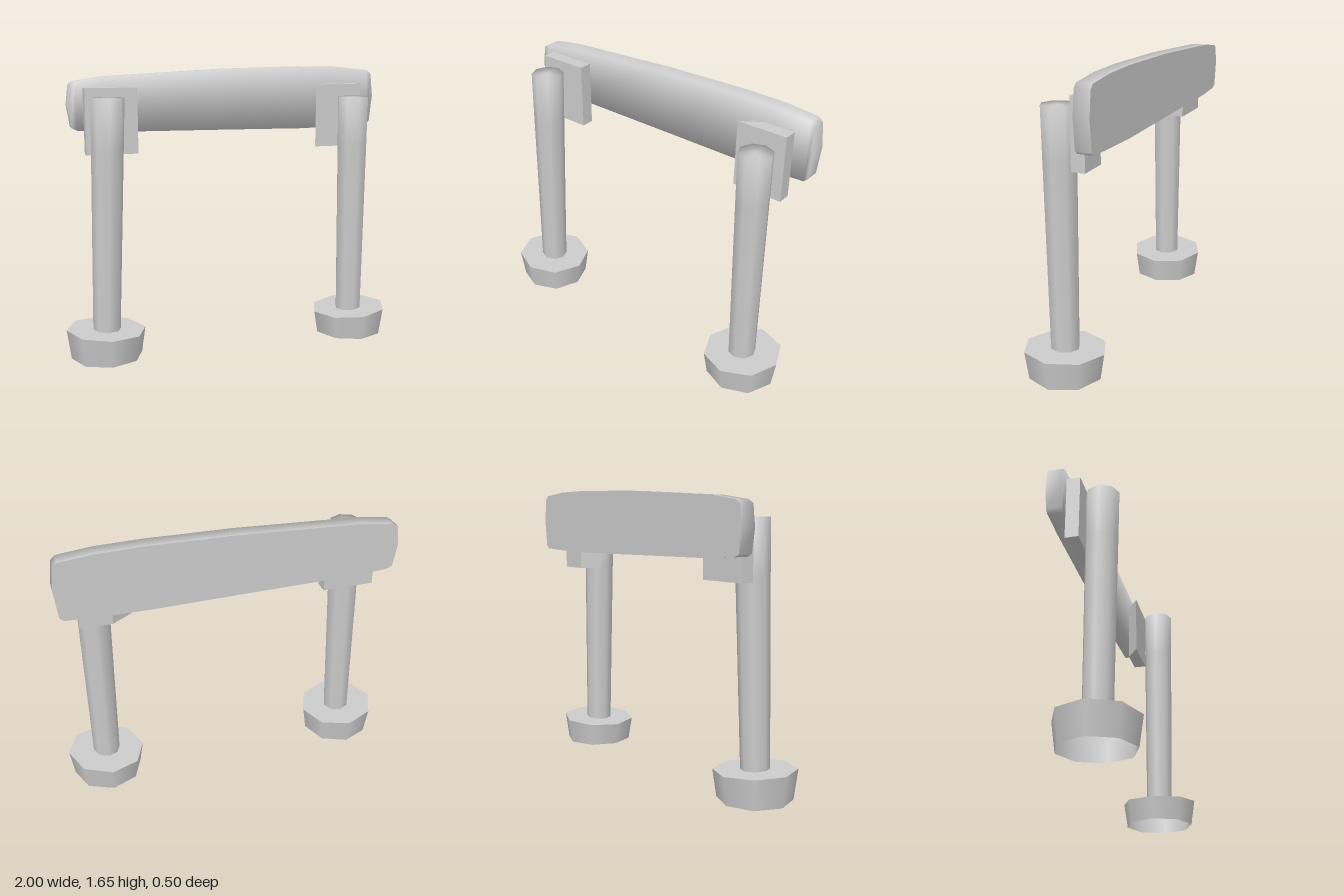
import * as THREE from 'three';

const material = new THREE.MeshStandardMaterial({ color: 0xcccccc, side: THREE.DoubleSide });

function addMesh(parent, name, geometry) {
  const mesh = new THREE.Mesh(geometry, material);
  mesh.name = name;
  parent.add(mesh);
  return mesh;
}

// Move every vertex of a geometry by a rule
function reshape(geometry, rule) {
  const pos = geometry.attributes.position;
  const v = new THREE.Vector3();
  for (let i = 0; i < pos.count; i++) {
    rule(v.fromBufferAttribute(pos, i));
    pos.setXYZ(i, v.x, v.y, v.z);
  }
  return geometry;
}

// Hollow octagonal foot, open below, with a slightly sloping top
function addFoot(parent, x, topY, slope) {
  const foot = new THREE.Group();
  foot.name = 'foot';
  foot.position.set(x, 0, 0.018);
  const tilt = (v) => { if (v.y > 0.01) v.y += slope * v.x; };
  const wall = new THREE.CylinderGeometry(0.23, 0.207, topY, 8, 1, true).translate(0, topY / 2, 0);
  addMesh(foot, 'footWall', reshape(wall, tilt));
  const cap = new THREE.CircleGeometry(0.23, 8).rotateX(-Math.PI / 2).translate(0, topY, 0);
  addMesh(foot, 'footTop', reshape(cap, tilt));
  parent.add(foot);
}

// Eight-sided post that widens and leans towards its top
function addPost(parent, base, top, topY) {
  const baseY = 0.14;
  const profile = [[0.08, baseY], [0.092, 1.2], [0.095, topY], [0, topY]];
  const geometry = new THREE.LatheGeometry(profile.map(([r, y]) => new THREE.Vector2(r, y)), 8);
  reshape(geometry, (v) => {
    const t = (v.y - baseY) / (topY - baseY);
    v.x += THREE.MathUtils.lerp(base[0], top[0], t);
    v.z += THREE.MathUtils.lerp(base[1], top[1], t);
  });
  addMesh(parent, 'post', geometry);
}

// Upright mounting plate; cut slants its inner side towards the back
function addPlate(parent, x0, x1, cut) {
  const shape = new THREE.Shape([[x0, 0.083], [x1, 0.083], [x1, 0.16], [x0 + cut, 0.16]]
    .map(([x, y]) => new THREE.Vector2(x, y)));
  const geometry = new THREE.ExtrudeGeometry(shape, { depth: 0.38, bevelEnabled: false });
  addMesh(parent, 'mountingPlate', geometry.rotateX(Math.PI / 2).scale(1, 1, -1)
    .rotateX(0).translate(0, 1.55, 0)).material = material;
}

// Long board: softened front, flat back
function boardGeometry() {
  const bottom = [[-0.91, 1.32], [-0.88, 1.305], [-0.7, 1.292], [0, 1.284], [0.5, 1.277], [0.75, 1.282], [0.94, 1.29], [0.963, 1.31]];
  const top = [[-0.915, 1.565], [-0.885, 1.585], [-0.7, 1.61], [0, 1.645], [0.5, 1.655], [0.75, 1.65], [0.94, 1.63], [0.965, 1.605]];
  const ring = [[-0.93, 1.45], ...bottom, [0.98, 1.47], ...top.reverse()];
  const N = ring.length, front = -0.16, back = -0.247;
  const positions = [], normals = [], index = [];
  const normal = new THREE.Vector3();
  const put = (p, z, n) => {
    positions.push(p[0], p[1], z);
    normals.push(n.x, n.y, n.z);
  };
  // Three rings: soft front rim, back rim of the side, flat back face
  [[front, 1], [back, 0], [back, null]].forEach(([z, lift]) => ring.forEach((p, i) => {
    const a = ring[(i + N - 1) % N], b = ring[(i + 1) % N];
    if (lift === null) normal.set(0, 0, -1);
    else {
      normal.set(b[1] - a[1], a[0] - b[0], 0).normalize();
      normal.z = lift;
      normal.normalize();
    }
    put(p, z, normal);
  }));
  for (let i = 0; i < N; i++) {
    const j = (i + 1) % N;
    index.push(i, N + i, N + j, i, N + j, j);
  }
  for (let k = 0; k < N / 2; k++) {
    const a = k, b = k + 1, c = N - k - 1, d = (N - k) % N, o = 2 * N;
    if (b !== c) index.push(a, b, c, o + a, o + c, o + b);
    if (a !== d) index.push(a, c, d, o + a, o + d, o + c);
  }
  const geometry = new THREE.BufferGeometry();
  geometry.setAttribute('position', new THREE.Float32BufferAttribute(positions, 3));
  geometry.setAttribute('normal', new THREE.Float32BufferAttribute(normals, 3));
  geometry.setIndex(index);
  return geometry;
}

export function createModel() {
  const model = new THREE.Group();
  model.name = 'signBoard';

  addFoot(model, -0.772, 0.162, -0.055);
  addFoot(model, 0.77, 0.15, 0.065);
  addPost(model, [-0.77, 0.02], [-0.725, 0.015], 1.5);
  addPost(model, [0.768, 0.02], [0.757, 0.033], 1.48);
  addPlate(model, -0.84, -0.54, 0);
  addPlate(model, 0.565, 0.86, 0.115);
  addMesh(model, 'board', boardGeometry());

  return model;
}
